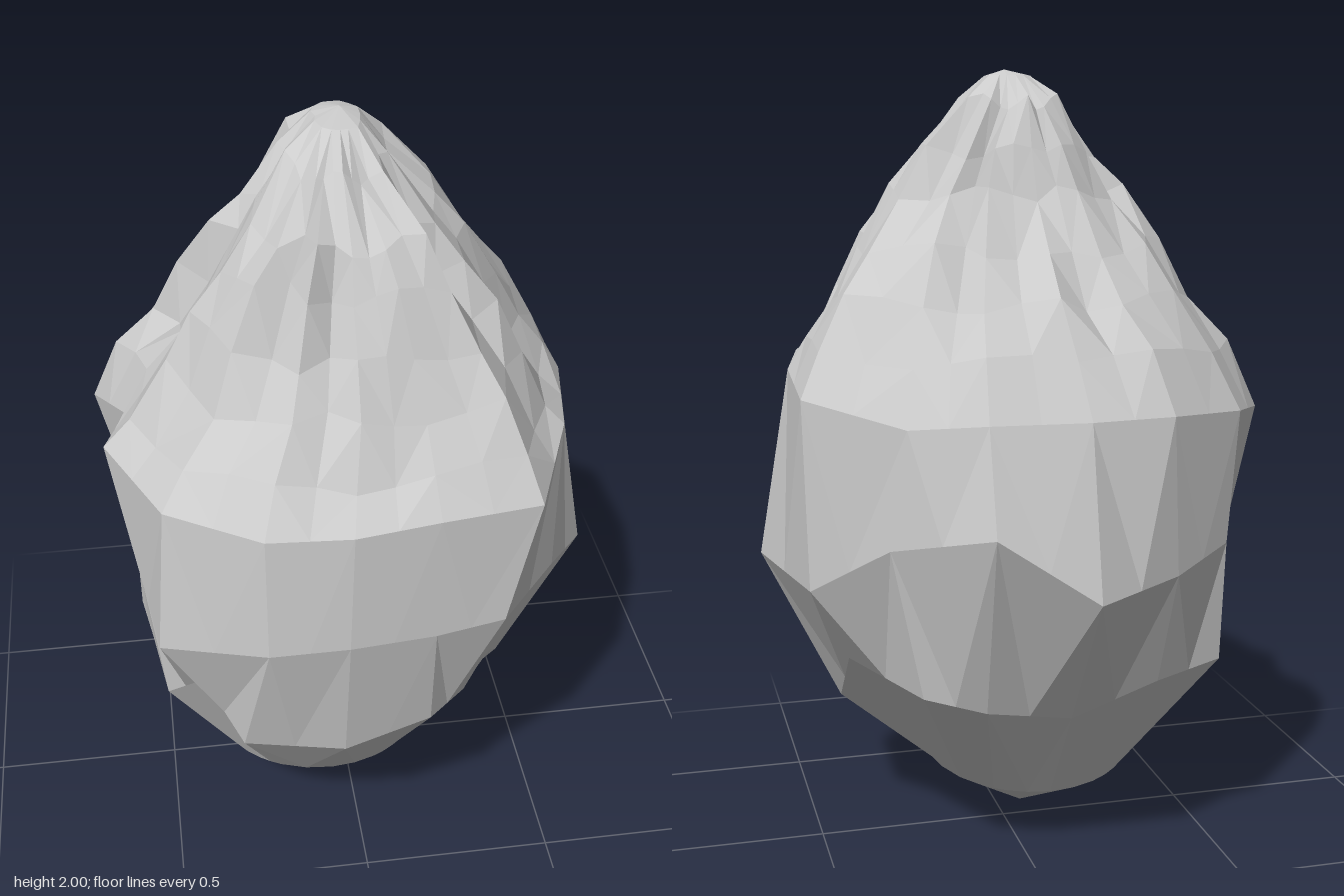
import * as THREE from 'three';

// Key cross-sections [x, y, z], each running back -> left -> front -> right
const LOW = [
  [-0.07, 0.43, -0.41], [0.15, 0.47, -0.43], [0.3, 0.51, -0.4], [0.44, 0.54, -0.14],
  [0.43, 0.36, 0.085], [0.335, 0.6, 0.345], [0.25, 0.58, 0.46], [0.15, 0.57, 0.54],
  [-0.07, 0.515, 0.565], [-0.32, 0.525, 0.52], [-0.41, 0.68, 0.44], [-0.5, 0.52, 0.3],
  [-0.53, 0.5, 0.06], [-0.555, 0.48, -0.12], [-0.48, 0.53, -0.35], [-0.3, 0.5, -0.39],
];
const MID = [
  [-0.07, 0.79, -0.645], [0.17, 0.95, -0.61], [0.38, 0.89, -0.42], [0.55, 0.76, -0.265],
  [0.63, 0.765, 0.105], [0.49, 0.87, 0.34], [0.31, 0.92, 0.59], [0.14, 0.91, 0.615],
  [-0.07, 0.92, 0.645], [-0.26, 0.91, 0.635], [-0.51, 0.865, 0.515], [-0.55, 0.94, 0.26],
  [-0.555, 0.95, 0.03], [-0.56, 0.9, -0.18], [-0.47, 0.85, -0.4], [-0.3, 0.81, -0.52],
];
const HIGH = [
  [-0.07, 1.2, -0.555], [0.17, 1.2, -0.54], [0.34, 1.18, -0.44], [0.56, 1.23, -0.26],
  [0.555, 1.26, 0.03], [0.5, 1.27, 0.3], [0.385, 1.24, 0.575], [0.14, 1.25, 0.62],
  [-0.06, 1.24, 0.64], [-0.26, 1.235, 0.62], [-0.48, 1.25, 0.5], [-0.605, 1.25, 0.215],
  [-0.55, 1.22, 0.03], [-0.63, 1.15, -0.18], [-0.5, 1.18, -0.39], [-0.28, 1.2, -0.53],
];

// Upper rings that narrow to the tip: [y, xMin, xMax, zMin, zMax, fold depth]
const CROWN = [
  [1.33, -0.56, 0.51, -0.48, 0.575, 0.02],
  [1.45, -0.46, 0.44, -0.4, 0.51, 0.06],
  [1.57, -0.395, 0.37, -0.31, 0.45, 0.1],
  [1.7, -0.315, 0.28, -0.2, 0.395, 0.14],
  [1.8, -0.24, 0.205, -0.16, 0.355, 0.14],
  [1.92, -0.15, 0.095, -0.11, 0.245, 0.12],
  [1.985, -0.075, 0.035, -0.035, 0.13, 0],
];

const vectors = section => section.map(p => new THREE.Vector3(...p));

// Adds the midpoint of every edge
const withMidpoints = points => points.flatMap((p, i) =>
  [p, p.clone().lerp(points[(i + 1) % points.length], 0.5)]);

// Small rounded ring just above the pointed base, following the columns above it
function baseRing(points) {
  return points.map(p => {
    const angle = Math.atan2(p.z - 0.07, p.x + 0.08);
    return new THREE.Vector3(
      -0.08 + 0.28 * Math.cos(angle), 0.19 + 0.04 * Math.sin(angle), 0.07 + 0.28 * Math.sin(angle));
  });
}

// Fits the high section into a smaller box and sinks uneven grooves between petals
function crownRing([y, x0, x1, z0, z1, fold], points, r) {
  const { mapLinear } = THREE.MathUtils;
  const last = r === CROWN.length - 1;
  return points.map((p, c) => {
    const groove = c % 2 ? fold * (0.4 + 0.9 * Math.sin(c * 2.3 + r * 0.4)) : 0;
    const k = 1 - Math.max(0, groove);
    const cx = (x0 + x1) / 2, cz = (z0 + z1) / 2;
    return new THREE.Vector3(
      cx + (mapLinear(p.x, -0.63, 0.56, x0, x1) - cx) * k,
      y + (last ? 0 : 0.02 * Math.sin(c * 1.1 + r * 1.7)),
      cz + (mapLinear(p.z, -0.555, 0.64, z0, z1) - cz) * k);
  });
}

export function createModel() {
  const group = new THREE.Group();
  group.name = 'bud';
  const [low, mid, high] = [LOW, MID, HIGH].map(s => withMidpoints(vectors(s)));
  const rings = [baseRing(low), low, mid, high, ...CROWN.map((ring, r) => crownRing(ring, high, r))];
  const n = low.length;
  const positions = rings.flat().flatMap(p => p.toArray());
  const index = [];

  // Walls between neighbouring rings, with mirrored diagonals
  for (let r = 0; r < rings.length - 1; r++) {
    for (let c = 0; c < n; c++) {
      const a = r * n + c, b = r * n + (c + 1) % n;
      if (c % 2) index.push(a, a + n, b + n, a, b + n, b);
      else index.push(a, a + n, b, b, a + n, b + n);
    }
  }

  // Pointed base and tip
  const base = positions.length / 3, tip = base + 1;
  positions.push(-0.07, 0, 0.085, -0.01, 2, 0.03);
  const top = (rings.length - 1) * n;
  for (let c = 0; c < n; c++) {
    const d = (c + 1) % n;
    index.push(base, c, d, tip, top + d, top + c);
  }

  const geometry = new THREE.BufferGeometry();
  geometry.setAttribute('position', new THREE.Float32BufferAttribute(positions, 3));
  geometry.setIndex(index);
  const faceted = geometry.toNonIndexed();
  faceted.computeVertexNormals();
  const body = new THREE.Mesh(faceted,
    new THREE.MeshStandardMaterial({ color: 0xcccccc, flatShading: true }));
  body.name = 'budBody';
  group.add(body);
  return group;
}
